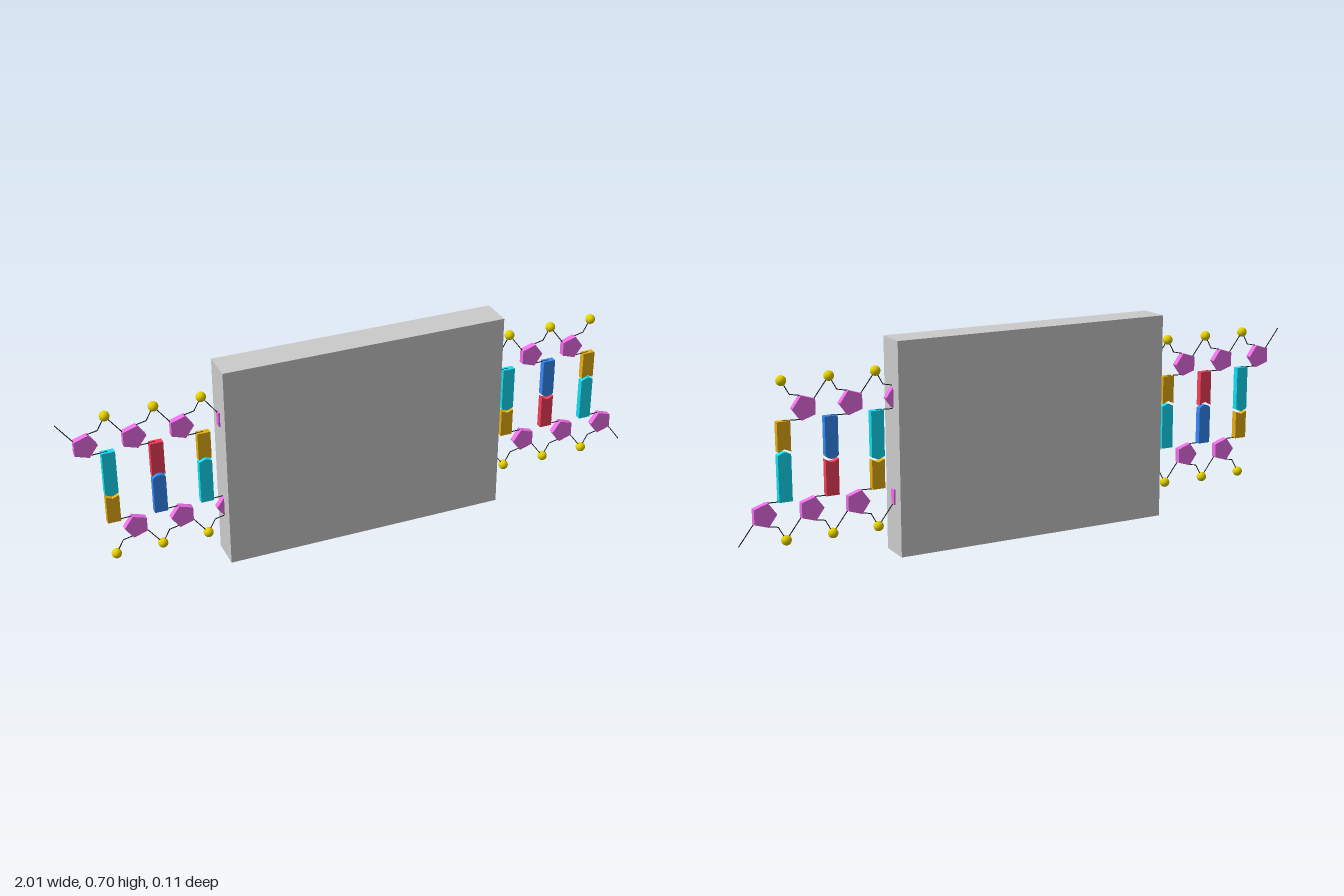
import * as THREE from 'three';

const PITCH = 0.1543, COUNT = 12, X0 = -0.849, MID_Y = 0.351, DEPTH = 0.0215;
const material = (color, options = {}) => new THREE.MeshStandardMaterial({ color, ...options });
const grey = material(0xcccccc);
const sugarMat = material(0xee6eea, { flatShading: true });
const phosphateMat = material(0xe6d200);
const bondMat = material(0x222222);

// Base kinds: inner end height (relative to the middle), bump direction and bump style
const BASES = {
  cyan: { color: 0x12dff5, end: -0.022, bump: -0.009, round: false },
  gold: { color: 0xe6af14, end: 0.031, bump: 0.009, round: false },
  blue: { color: 0x3388f5, end: 0.001, bump: -0.010, round: true },
  red: { color: 0xf5405a, end: 0.009, bump: 0.010, round: true },
};
// The strand reads the same on its partner when turned half round
const SEQUENCE = ['cyan', 'red', 'gold', 'gold', 'red', 'red', 'blue', 'blue', 'cyan', 'cyan', 'blue', 'gold'];

function add(parent, name, geometry, mat, x = 0, y = 0) {
  const mesh = new THREE.Mesh(geometry, mat);
  mesh.name = name;
  mesh.position.set(x, y, 0);
  parent.add(mesh);
  return mesh;
}

function extrude(shape) {
  return new THREE.ExtrudeGeometry(shape, { depth: DEPTH, bevelEnabled: false, curveSegments: 10 })
    .translate(0, 0, -DEPTH / 2);
}

// Flat bar whose inner end is a point, notch, dome or hollow
function baseGeometry({ end, bump, round }) {
  const w = 0.0215, top = 0.127;
  const s = new THREE.Shape();
  s.moveTo(w, top);
  s.lineTo(-w, top);
  s.lineTo(-w, end);
  if (round) s.quadraticCurveTo(0, end + 2 * bump, w, end);
  else s.lineTo(0, end + bump).lineTo(w, end);
  s.closePath();
  return extrude(s);
}

// Five-sided ring with one corner pointing along +x
function sugarGeometry() {
  const pts = [];
  for (let i = 0; i < 5; i++) {
    const a = i * Math.PI * 0.4;
    pts.push(new THREE.Vector2(0.041 * Math.cos(a), 0.041 * Math.sin(a)));
  }
  return extrude(new THREE.Shape(pts));
}

// Thin rod between two points in the strand's plane
function bond(parent, [ax, ay], [bx, by]) {
  const dx = bx - ax, dy = by - ay;
  const rod = add(parent, 'bond', new THREE.CylinderGeometry(0.0016, 0.0016, Math.hypot(dx, dy), 6),
    bondMat, (ax + bx) / 2, (ay + by) / 2);
  rod.rotation.z = Math.atan2(dy, dx) - Math.PI / 2;
}

// One strand, drawn about the ladder's middle
function createStrand(name) {
  const strand = new THREE.Group();
  strand.name = name;
  const sugar = sugarGeometry();
  const ball = new THREE.SphereGeometry(0.0165, 20, 14);
  const sugarY = 0.162, ballY = 0.252;
  for (let i = 0; i < COUNT; i++) {
    const x = X0 + i * PITCH, sx = x - 0.071;
    const kind = BASES[SEQUENCE[i]];
    add(strand, 'sugar', sugar, sugarMat, sx, sugarY);
    add(strand, 'phosphate', ball, phosphateMat, x, ballY);
    add(strand, 'base', baseGeometry(kind), material(kind.color), x, 0);
    // Backbone: previous phosphate, sugar, kink, phosphate
    bond(strand, [x - PITCH, ballY], [sx - 0.033, sugarY + 0.024]);
    const kink = [sx + 0.046, sugarY + 0.045];
    bond(strand, [sx + 0.0127, sugarY + 0.038], kink);
    bond(strand, kink, [x, ballY]);
    // Link from sugar to base
    bond(strand, [sx + 0.0127, sugarY - 0.037], [x, 0.127]);
  }
  return strand;
}

export function createModel() {
  const model = new THREE.Group();
  model.name = 'ladderStrandsWithBlock';

  // Block around the middle of the ladder
  add(model, 'block', new THREE.BoxGeometry(0.97, 0.7, 0.11), grey, 0, 0.35);

  // Two strands, the lower one turned half round
  const ladder = new THREE.Group();
  ladder.name = 'ladder';
  ladder.position.set(0, MID_Y, -0.003);
  const lower = createStrand('lowerStrand');
  lower.rotation.z = Math.PI;
  ladder.add(createStrand('upperStrand'), lower);
  model.add(ladder);
  return model;
}
